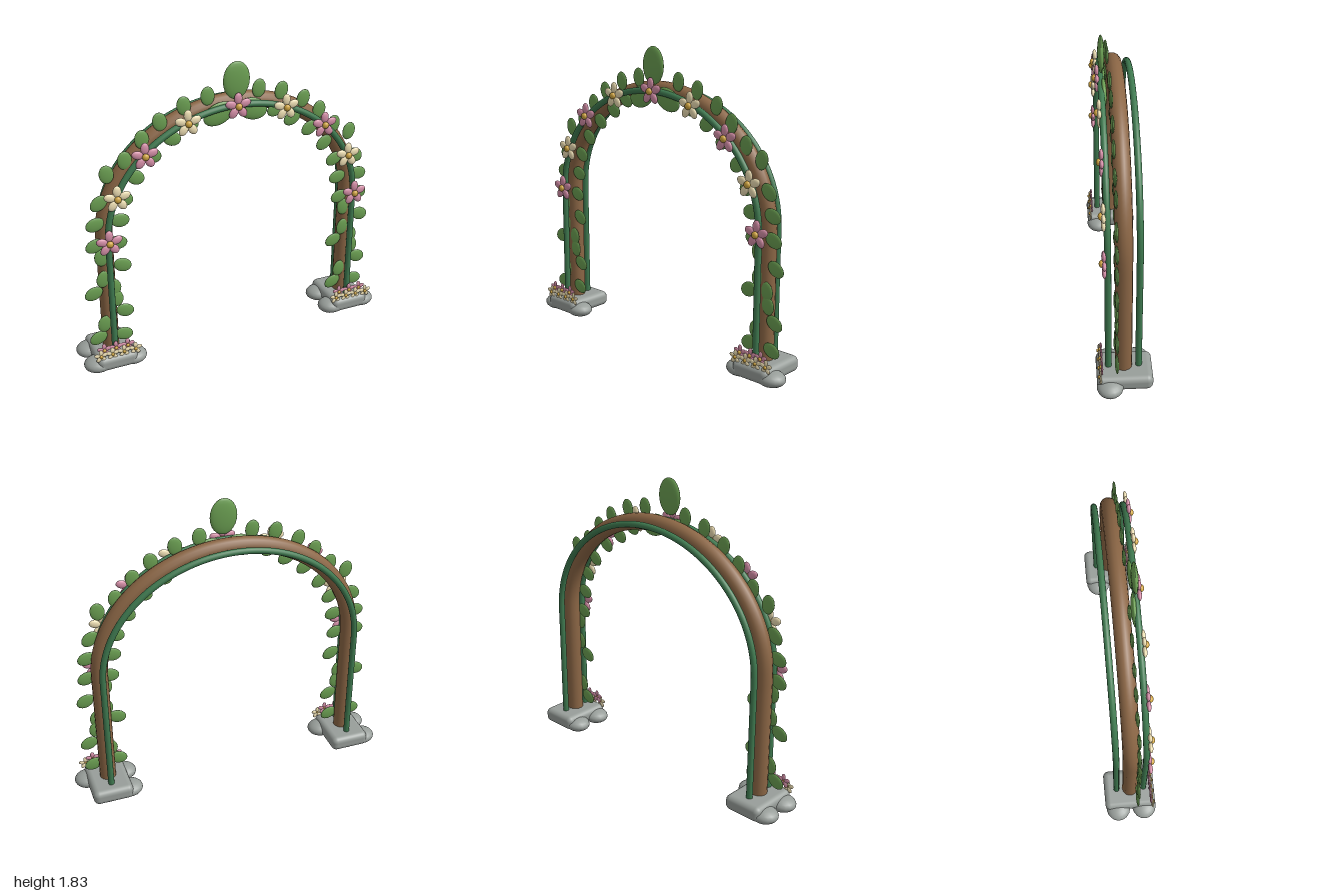
import * as THREE from 'three';
import { RoundedBoxGeometry } from 'three/addons/geometries/RoundedBoxGeometry.js';

const mat = (color) => new THREE.MeshStandardMaterial({ color });
const WOOD = mat(0x8b6645), VINE = mat(0x3f7a50), LEAF = mat(0x6b9f52), STONE = mat(0x989e9a);
const PINK = mat(0xd58fa8), CREAM = mat(0xeedfb4), GOLD = mat(0xd0a540);
const BALL = new THREE.SphereGeometry(1, 18, 12);

// Arch centre line: straight legs under a half ellipse
const HALF = 0.8, SPRING = 0.865, RISE = 0.707;
const archPoint = (a, z = 0) =>
  new THREE.Vector3(-HALF * Math.cos(a), SPRING + RISE * Math.sin(a), z);

function archTube(name, z, radius, material) {
  const pts = [];
  for (let y = 0.06; y < SPRING - 0.05; y += 0.1) pts.push(new THREE.Vector3(-HALF, y, z));
  const mirrored = pts.map((p) => new THREE.Vector3(HALF, p.y, z)).reverse();
  for (let i = 0; i <= 32; i++) pts.push(archPoint((Math.PI * i) / 32, z));
  const curve = new THREE.CatmullRomCurve3([...pts, ...mirrored]);
  const mesh = new THREE.Mesh(new THREE.TubeGeometry(curve, 120, radius, 14), material);
  mesh.name = name;
  return mesh;
}

function ellipsoid(name, material, [x, y, z], [rx, ry, rz], turn = 0) {
  const mesh = new THREE.Mesh(BALL, material);
  mesh.name = name;
  mesh.position.set(x, y, z);
  mesh.scale.set(rx, ry, rz);
  mesh.rotation.z = turn;
  return mesh;
}

const leaf = (x, y, degrees) =>
  ellipsoid('leaf', LEAF, [x, y, 0.042], [0.057, 0.043, 0.011], THREE.MathUtils.degToRad(degrees));

// Five petals around a golden centre; size is the overall radius
function flower(name, material, x, y, z, size) {
  const g = new THREE.Group();
  g.name = name;
  for (let i = 0; i < 5; i++) {
    const a = Math.PI / 2 + (i * Math.PI * 2) / 5;
    const d = size * 0.58;
    g.add(ellipsoid('petal', material, [Math.cos(a) * d, Math.sin(a) * d, 0],
      [size * 0.44, size * 0.31, size * 0.16], a));
  }
  g.add(ellipsoid('flowerCentre', GOLD, [0, 0, size * 0.16], [size * 0.26, size * 0.26, size * 0.2]));
  g.position.set(x, y, z);
  return g;
}

// Stone foot with boulders and a small flower bed
function foot(x) {
  const g = new THREE.Group();
  g.name = 'foot';
  const slab = new THREE.Mesh(new RoundedBoxGeometry(0.25, 0.095, 0.325, 4, 0.035), STONE);
  slab.name = 'slab';
  slab.position.set(0, 0.067, -0.005);
  g.add(slab);
  for (const [sx, sz] of [[-0.11, 0.083], [0.11, 0.083], [-0.11, -0.085], [0.02, -0.085], [0, 0.07]]) {
    const inner = Math.abs(sx) < 0.05;
    g.add(ellipsoid('boulder', STONE, [sx, inner ? 0.045 : 0.05, sz],
      [0.087, inner ? 0.042 : 0.046, 0.078]));
  }
  for (let i = 0; i < 4; i++)
    g.add(flower('smallCreamFlower', CREAM, -0.105 + i * 0.072, 0.132, 0.138, 0.042));
  for (let i = 0; i < 3; i++)
    g.add(flower('smallPinkFlower', PINK, -0.08 + i * 0.073, 0.165, 0.128, 0.044));
  g.position.x = x;
  return g;
}

// Leaves on a leg: offset from the leg, height, tilt in degrees
const LEG_LEAVES = [
  [0.075, 0.19, -20], [-0.085, 0.2, 25], [-0.04, 0.29, 80], [0.09, 0.355, -25],
  [0.04, 0.45, 100], [-0.095, 0.515, 22], [-0.03, 0.6, 75], [0.09, 0.67, -28], [-0.035, 0.745, 95],
  [0.03, 0.53, 100],
];
// Leaves along the right half of the arch, mirrored to the left
const ARCH_LEAVES = [
  [0.87, 0.83, -20], [0.73, 0.825, 15], [0.86, 0.965, -15], [0.71, 0.965, 12],
  [0.83, 1.095, -40], [0.68, 1.095, 25], [0.775, 1.265, 80], [0.605, 1.217, 35],
  [0.665, 1.33, 85], [0.5, 1.332, 30], [0.56, 1.44, 85],
  [0.38, 1.415, 25], [0.45, 1.527, 75], [0.27, 1.49, 25], [0.305, 1.6, 80], [0.16, 1.635, 85],
];

export function createModel() {
  const model = new THREE.Group();
  model.name = 'floralArch';

  model.add(archTube('woodenArch', 0, 0.05, WOOD));
  model.add(archTube('frontVine', 0.088, 0.019, VINE));
  model.add(archTube('backVine', -0.088, 0.019, VINE));

  for (const side of [-1, 1]) {
    model.add(foot(side * HALF));
    for (const [dx, y, t] of LEG_LEAVES) model.add(leaf(side * HALF + dx, y, t));
    for (const [x, y, t] of ARCH_LEAVES) model.add(leaf(side * x, y, side * t));
    // Broad leaves fanning from the crown
    model.add(ellipsoid('crownSideLeaf', LEAF, [side * 0.105, 1.53, 0.073], [0.098, 0.066, 0.018], side * -0.35));
  }
  model.add(ellipsoid('crownLeaf', LEAF, [0, 1.72, 0.083], [0.083, 0.112, 0.02]));

  // Large flowers evenly spaced around the arch, pink and cream in turn
  for (let k = 0; k <= 8; k++) {
    const p = archPoint((k * Math.PI) / 8);
    const pink = k % 2 === 0;
    model.add(flower(pink ? 'pinkFlower' : 'creamFlower', pink ? PINK : CREAM, p.x, p.y, 0.108, 0.08));
  }
  return model;
}
